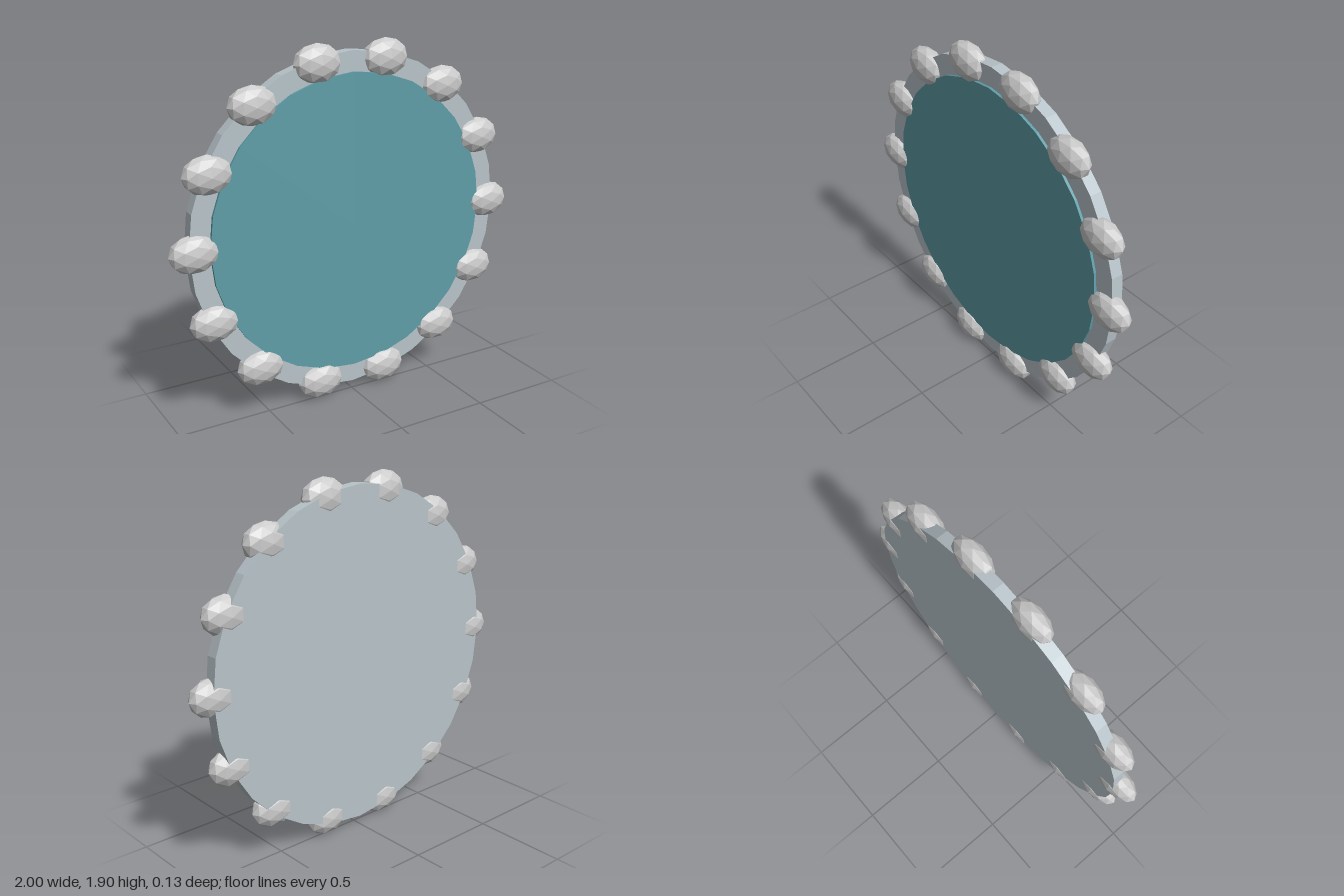
import * as THREE from 'three';

const CENTER_Y = 0.95;
const STONES = 14;

// Upright disc facing +z, spanning zBack to zFront
function disc(name, radius, zBack, zFront, color) {
  const geometry = new THREE.CylinderGeometry(radius, radius, zFront - zBack, 28);
  geometry.rotateX(Math.PI / 2);
  const material = new THREE.MeshStandardMaterial({ color, flatShading: true });
  const mesh = new THREE.Mesh(geometry, material);
  mesh.name = name;
  mesh.position.set(0, CENTER_Y, (zBack + zFront) / 2);
  return mesh;
}

export function createModel() {
  const model = new THREE.Group();
  model.name = 'stoneRimmedPool';

  // Backing plate and slightly raised water surface
  model.add(disc('basePlate', 0.9, -0.052, 0.012, 0xb8c4ca));
  model.add(disc('waterSurface', 0.795, -0.02, 0.026, 0x5f9ea8));

  // Ring of faceted, flattened stones, all in the same orientation
  const stoneGeometry = new THREE.IcosahedronGeometry(1, 1);
  stoneGeometry.scale(0.13, 0.1, 0.066);
  const stoneMaterial = new THREE.MeshStandardMaterial({ color: 0xcccccc, flatShading: true });
  const ring = new THREE.Group();
  ring.name = 'stoneRing';
  for (let i = 0; i < STONES; i++) {
    const angle = (i / STONES) * Math.PI * 2;
    const stone = new THREE.Mesh(stoneGeometry, stoneMaterial);
    stone.name = 'rimStone';
    stone.position.set(0.87 * Math.cos(angle), CENTER_Y + 0.87 * Math.sin(angle), 0);
    ring.add(stone);
  }
  model.add(ring);
  return model;
}
